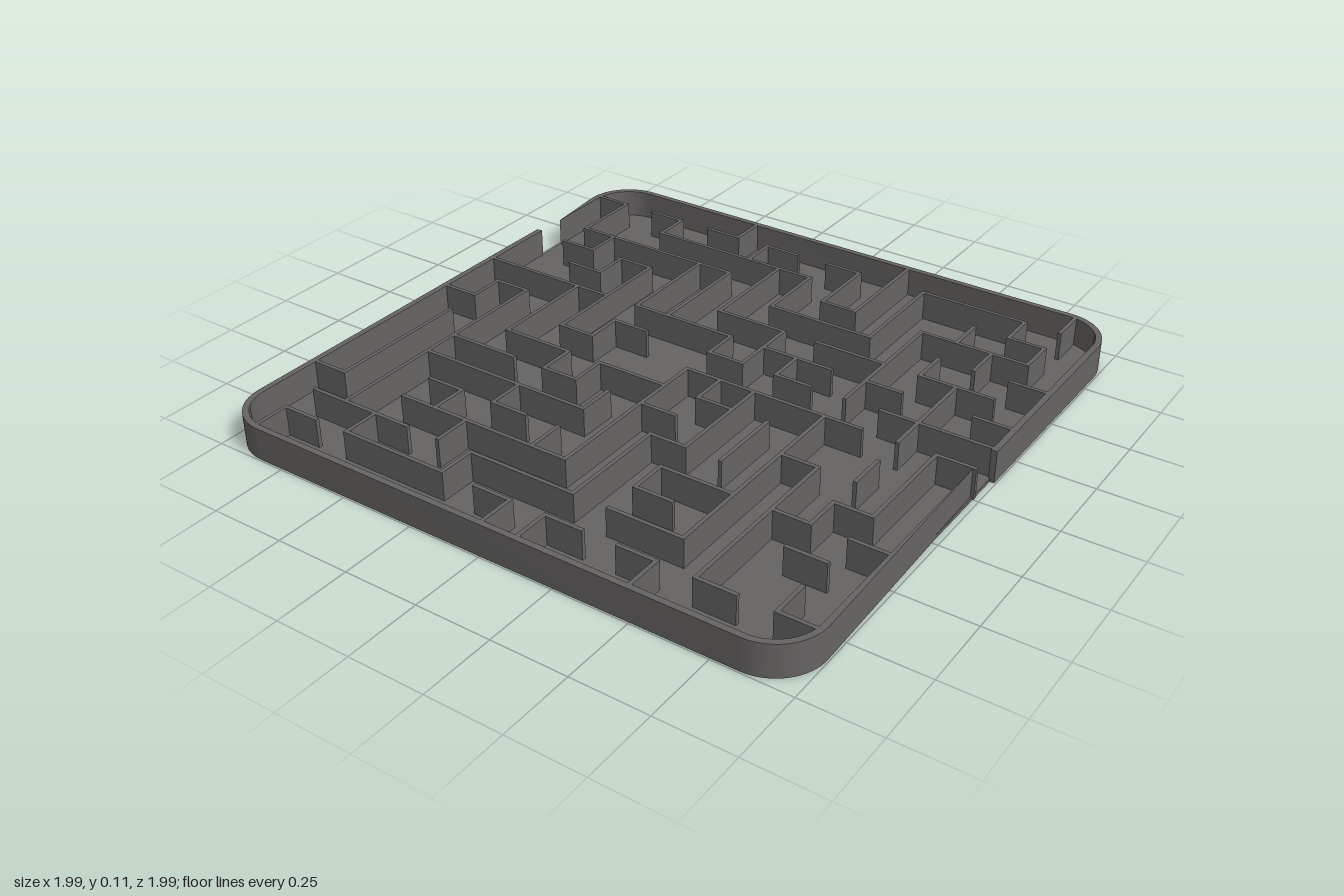
import * as THREE from 'three';
import { toCreasedNormals } from 'three/addons/utils/BufferGeometryUtils.js';

const HALF = 0.995, RADIUS = 0.16, RIM = 0.02;   // outer rim
const HEIGHT = 0.108, FLOOR = 0.012;
const PITCH = 0.1225, WALL = 0.013;              // 16 x 16 maze cells

// Inner walls on the cell grid. Each row: line number, then its start-end spans.
const ALONG_X = [
  '1: 0-1 2-3 4-5 6-7 8-9 11-14',
  '2: 3-8 14-15',
  '3: 1-6 9-10 12-15',
  '4: 1-2 3-4 8-11 15-16',
  '5: 2-3 7-9 10-12 13-15',
  '6: 0-4 5-8 9-11 12-13 15-16',
  '7: 1-2 5-6 8-9 10-11 13-16',
  '8: 0-1 4-5 8-13 15-16',
  '9: 3-5 6-8 9-10',
  '10: 2-4 5-6 8-9 12-13',
  '11: 2-7 9-10 14-15',
  '12: 3-4 5-6 10-12 13-14 15-16',
  '13: 0-1 3-8 10-11 14-15',
  '14: 1-4 6-9 10-12',
  '15: 1-2 3-6 7-8 9-10 11-12 13-14 15-16',
];
const ALONG_Z = [
  '1: 1-3 7-8 9-13 15-16',
  '2: 3-4 7-14',
  '3: 1-2 4-5 6-9 14-15',
  '4: 4-8 12-13',
  '5: 0-1 3-6 7-8 9-10 11-12 13-14',
  '6: 1-2 3-6 9-10 14-15',
  '7: 2-5 10-11 12-13',
  '8: 2-4 6-7 8-13 15-16',
  '9: 1-3 5-7 8-9 11-14 15-16',
  '10: 0-3 6-7 8-11 12-13',
  '11: 1-4 9-11',
  '12: 3-7 8-14 15-16',
  '13: 2-3 4-5 10-15',
  '14: 1-2 3-4 5-8 9-10 11-12',
  '15: 0-1 2-3 8-11 14-15',
];

// Extrudes a shape drawn in (x, z) from the ground up to the given height.
function slab(shape, height) {
  const geo = new THREE.ExtrudeGeometry(shape, { depth: height, bevelEnabled: false, curveSegments: 16 });
  geo.rotateX(Math.PI / 2).translate(0, height, 0);
  return toCreasedNormals(geo, 0.5);
}

// Half of the rim: from the left side at z = a, round the back, to the right side at z = b.
function rimShape(a, b) {
  const c = HALF - RADIUS, inner = HALF - RIM, r = RADIUS - RIM, P = Math.PI;
  const s = new THREE.Shape();
  s.moveTo(-HALF, a);
  s.absarc(-c, -c, RADIUS, P, 1.5 * P, false);
  s.absarc(c, -c, RADIUS, 1.5 * P, 2 * P, false);
  s.lineTo(HALF, b);
  s.lineTo(inner, b);
  s.absarc(c, -c, r, 2 * P, 1.5 * P, true);
  s.absarc(-c, -c, r, 1.5 * P, P, true);
  s.lineTo(-inner, a);
  s.closePath();
  return s;
}

function floorShape() {
  const h = HALF - RIM * 0.7, r = RADIUS - RIM * 0.7, c = h - r, P = Math.PI;
  const s = new THREE.Shape();
  s.absarc(c, c, r, 0, P / 2, false);
  s.absarc(-c, c, r, P / 2, P, false);
  s.absarc(-c, -c, r, P, 1.5 * P, false);
  s.absarc(c, -c, r, 1.5 * P, 2 * P, false);
  s.closePath();
  return s;
}

export function createModel() {
  const model = new THREE.Group();
  model.name = 'mazeTray';
  const grey = new THREE.MeshStandardMaterial({ color: 0x666463 });
  grey.name = 'darkGrey';

  function add(geo, name, parent = model) {
    const mesh = new THREE.Mesh(geo, grey);
    mesh.name = name;
    parent.add(mesh);
    return mesh;
  }

  add(slab(floorShape(), FLOOR), 'floor');

  // Rim in two halves, leaving the entrance and exit gaps
  add(slab(rimShape(-0.61, -0.11), HEIGHT), 'backRim');
  add(slab(rimShape(0.015, 0.507), HEIGHT), 'frontRim').rotation.y = Math.PI;

  // Maze walls
  const walls = new THREE.Group();
  walls.name = 'mazeWalls';
  model.add(walls);
  const at = (i) => (i - 8) * PITCH;
  const wallHeight = HEIGHT - FLOOR / 2;
  function addWalls(rows, alongX) {
    for (const row of rows) {
      const [line, spans] = row.split(': ');
      for (const span of spans.split(' ')) {
        const [a, b] = span.split('-').map(Number);
        const length = (b - a) * PITCH + WALL;
        const mid = at((a + b) / 2), side = at(Number(line));
        const geo = new THREE.BoxGeometry(alongX ? length : WALL, wallHeight, alongX ? WALL : length);
        const wall = add(geo, alongX ? 'crossWall' : 'lengthWall', walls);
        wall.position.set(alongX ? mid : side, HEIGHT - wallHeight / 2, alongX ? side : mid);
      }
    }
  }
  addWalls(ALONG_X, true);
  addWalls(ALONG_Z, false);
  return model;
}
